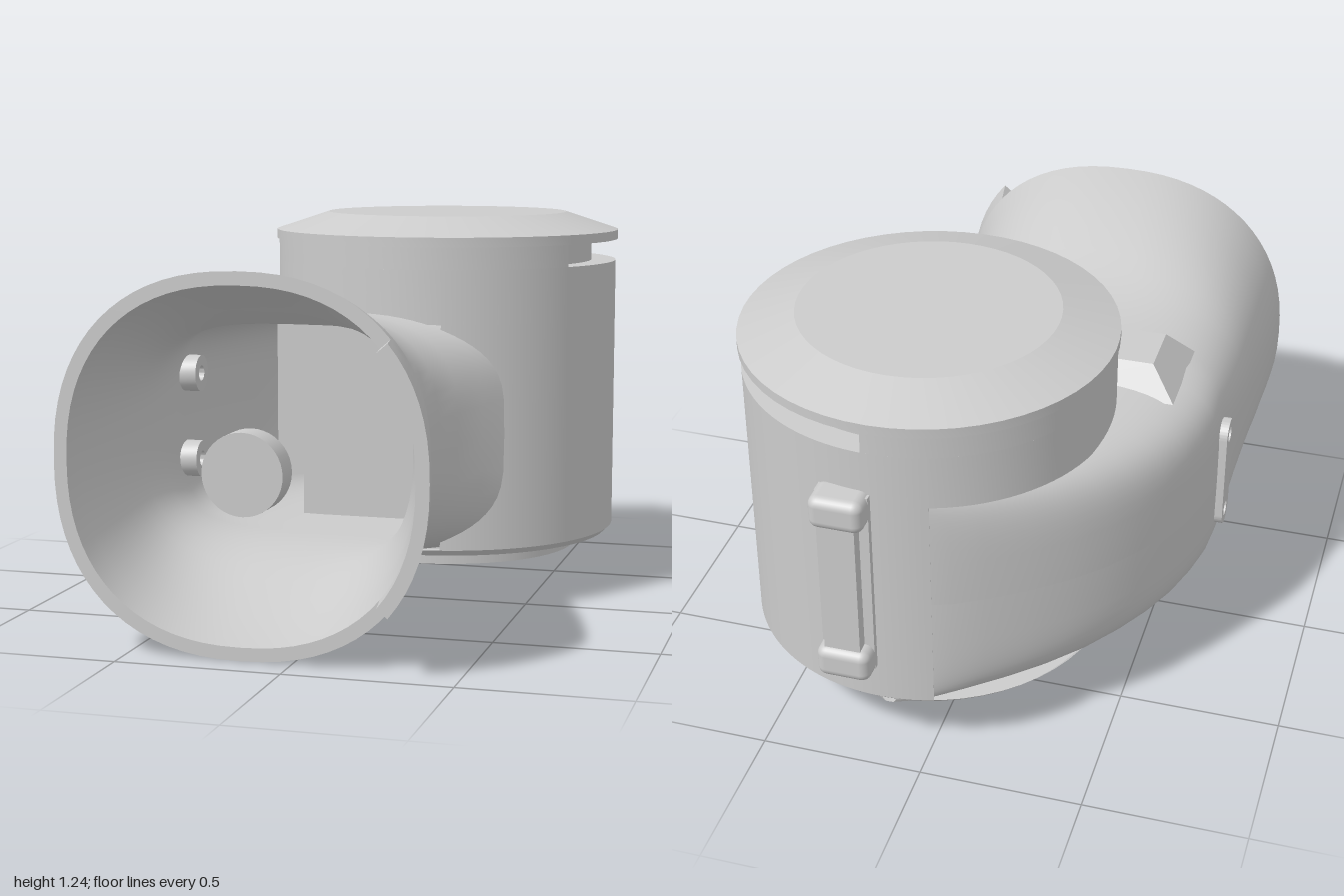
import * as THREE from 'three';
import { toCreasedNormals } from 'three/addons/utils/BufferGeometryUtils.js';
import { RoundedBoxGeometry } from 'three/addons/geometries/RoundedBoxGeometry.js';
import { ConvexGeometry } from 'three/addons/geometries/ConvexGeometry.js';

const CX = 0.15, CZ = -0.36, R = 0.56; // drum axis and radius
const COLS = 72, WALL = 0.04;
const grey = new THREE.MeshStandardMaterial({ color: 0xcccccc, side: THREE.DoubleSide });

// Right edge of the body where it follows the drum wall
const drumX = z => CX + Math.sqrt(Math.max(0, 0.54 ** 2 - (z - CZ) ** 2));

// Body sections: z, left x, right x, bottom y, top y, squareness
const SECTIONS = [
  [0.9, -0.72, 0.41, 0.01, 1.13, 2.3],
  [0.8, -0.72, 0.385, 0.025, 1.115, 2.3],
  [0.7, -0.717, 0.36, 0.05, 1.09, 2.35],
  [0.6, -0.715, 0.325, 0.08, 1.06, 2.45],
  [0.5, -0.71, 0.295, 0.115, 1.025, 2.6],
  [0.42, -0.707, 0.285, 0.145, 0.995, 2.8],
  [0.34, -0.705, 0.295, 0.168, 0.972, 3],
  [0.26, -0.702, 0.335, 0.182, 0.958, 3.3],
  [0.18, -0.7, 0.395, 0.19, 0.952, 3.7],
  [0.1, -0.697, 0.46, 0.19, 0.95, 4.2],
  ...[[0.02, -0.69], [-0.08, -0.685], [-0.18, -0.665], [-0.28, -0.635], [-0.38, -0.59],
    [-0.48, -0.53], [-0.58, -0.455], [-0.67, -0.365], [-0.75, -0.265], [-0.82, -0.16],
    [-0.87, -0.07], [-0.895, 0], [-0.915, 0.09]]
    .map(([z, xl]) => [z, xl, Math.max(drumX(z), xl + 0.06), 0.19, 0.95, 5]),
];

// One superellipse ring of points
function ring([z, xl, xr, yb, yt, n], inset = 0) {
  const hx = Math.max((xr - xl) / 2 - inset, 0.01), hy = (yt - yb) / 2 - inset;
  const bend = v => Math.sign(v) * Math.abs(v) ** (2 / n);
  return Array.from({ length: COLS + 1 }, (_, j) => {
    const a = -Math.PI + (j / COLS) * Math.PI * 2;
    return [(xl + xr) / 2 + hx * bend(Math.cos(a)), (yb + yt) / 2 + hy * bend(Math.sin(a)), z];
  });
}

// Skin a list of point rows
function loft(rows, crease = 0.6) {
  const w = rows[0].length, idx = [];
  for (let i = 0; i < rows.length - 1; i++) {
    for (let j = 0; j < w - 1; j++) {
      const a = i * w + j, b = a + w;
      idx.push(a, b, b + 1, a, b + 1, a + 1);
    }
  }
  const g = new THREE.BufferGeometry();
  g.setAttribute('position', new THREE.Float32BufferAttribute(rows.flat(2), 3));
  g.setIndex(idx);
  return toCreasedNormals(g, crease);
}

// Upright wall segment around the drum axis; angle 0 is +x, growing towards the back
function sector(r0, r1, a0, a1, y0, y1) {
  const s = new THREE.Shape();
  s.absarc(0, 0, r1, a0, a1, false);
  s.absarc(0, 0, r0, a1, a0, true);
  const g = new THREE.ExtrudeGeometry(s, { depth: y1 - y0, bevelEnabled: false, curveSegments: 48 });
  g.rotateX(-Math.PI / 2).translate(CX, y0, CZ);
  return toCreasedNormals(g, 0.5);
}

function lathe(points) {
  const g = new THREE.LatheGeometry(points.map(p => new THREE.Vector2(...p)), 56);
  return toCreasedNormals(g.translate(CX, 0, CZ), 0.3);
}

function circleHole(x, y, r) {
  const p = new THREE.Path();
  p.absarc(x, y, r, 0, Math.PI * 2, true);
  return p;
}

// Extrude a shape drawn in (z, y) along x
function extrudeX(shape, x0, depth) {
  const g = new THREE.ExtrudeGeometry(shape, { depth, bevelEnabled: false, curveSegments: 16 });
  return toCreasedNormals(g.rotateY(Math.PI / 2).translate(x0, 0, 0), 0.6);
}

export function createModel() {
  const model = new THREE.Group();
  const add = (name, geometry, x = 0, y = 0, z = 0) => {
    const m = new THREE.Mesh(geometry, grey);
    m.name = name;
    m.position.set(x, y, z);
    model.add(m);
    return m;
  };
  const box = (name, x0, x1, y0, y1, z0, z1, r = 0) => add(name,
    r ? new RoundedBoxGeometry(x1 - x0, y1 - y0, z1 - z0, 3, r) : new THREE.BoxGeometry(x1 - x0, y1 - y0, z1 - z0),
    (x0 + x1) / 2, (y0 + y1) / 2, (z0 + z1) / 2);

  // Hollow duct sweeping from the flared mouth into the drum
  const outer = SECTIONS.map(s => ring(s));
  const inner = SECTIONS.slice(0, -2).map(s => ring(s, WALL));
  add('duct', loft([...inner.reverse(), ...outer]));

  // Lip extending the mouth on one side
  const mouth = SECTIONS[0], tip = [1.0, -0.72, 0.43, 0.01, 1.13, 2.3];
  const lipRows = [ring(mouth, WALL), ring(tip, WALL), ring(tip), ring(mouth)];
  const cols = lipRows[3].map((p, j) => j).filter(j => lipRows[3][j][0] > 0.28);
  add('mouthLip', loft(lipRows.map((row, i) => {
    const end = lipRows[[0, 1, 1, 0][i]];
    return [end[cols[0]], ...cols.map(j => row[j]), end[cols[cols.length - 1]]];
  })));

  // Drum: lower wall, upper collar with a slot, cap and base
  add('drumWall', sector(0.5, R, -1.37, 1.87, 0.21, 1.09));
  add('drumCollar', sector(0.48, R, 0, Math.PI * 2, 0.92, 1.09));
  add('slotCore', new THREE.CylinderGeometry(0.48, 0.48, 0.2, 56, 1, true), CX, 1.1, CZ);
  add('slotBand', sector(0.47, R, 1.53, Math.PI * 2 - 0.59, 1.09, 1.16));
  add('cap', lathe([[0.47, 1.16], [0.567, 1.16], [0.567, 1.19], [0.395, 1.247], [0, 1.247]]));
  add('drumBase', lathe([[0, 0.19], [0.54, 0.19], [R, 0.21]]));
  add('baseDisc', new THREE.CylinderGeometry(0.435, 0.435, 0.06, 56), CX, 0.17, CZ);

  // Inner block and hub disc seen through the mouth
  box('innerBlock', -0.38, 0.5, 0.37, 0.912, -0.55, -0.15);
  box('innerBlockFoot', -0.3, 0.45, 0.22, 0.37, -0.55, -0.18);
  add('hub', new THREE.CylinderGeometry(0.12, 0.12, 0.085, 40).rotateX(Math.PI / 2), -0.12, 0.565, 0.923);

  // Side clip with its two inner bosses
  const lowY = 0.435, highY = 0.72;
  const clip = new THREE.Shape();
  clip.absarc(0, highY, 0.05, 0, Math.PI, false);
  clip.absarc(0, lowY, 0.05, Math.PI, Math.PI * 2, false);
  for (const y of [lowY, highY]) {
    clip.holes.push(circleHole(0, y, 0.025));
    const boss = new THREE.Shape();
    boss.absarc(0, y, 0.06, 0, Math.PI * 2, false);
    boss.holes.push(circleHole(0, y, 0.025));
    add('clipBoss', extrudeX(boss, -0.655, 0.06));
  }
  add('sideClip', extrudeX(clip, -0.71, 0.03));

  // Raised wedge on top of the duct beside the drum
  const wedge = [];
  for (const [y, x, z0, z1] of [[0.92, -0.56, -0.19, 0.13], [1.01, -0.48, -0.12, 0.06]]) {
    for (const z of [z0, z1]) wedge.push(new THREE.Vector3(x, y, z), new THREE.Vector3(-0.15, y, z));
  }
  add('topWedge', new ConvexGeometry(wedge));

  // Latch on the back of the drum
  box('latchPlate', 0.15, 0.31, 0.33, 0.95, -0.94, -0.86);
  box('latchBar', 0.18, 0.29, 0.38, 0.9, -0.98, -0.88);
  for (const y of [0.315, 0.855]) box('latchEnd', 0.15, 0.315, y, y + 0.105, -1, -0.88, 0.03);

  return model;
}
